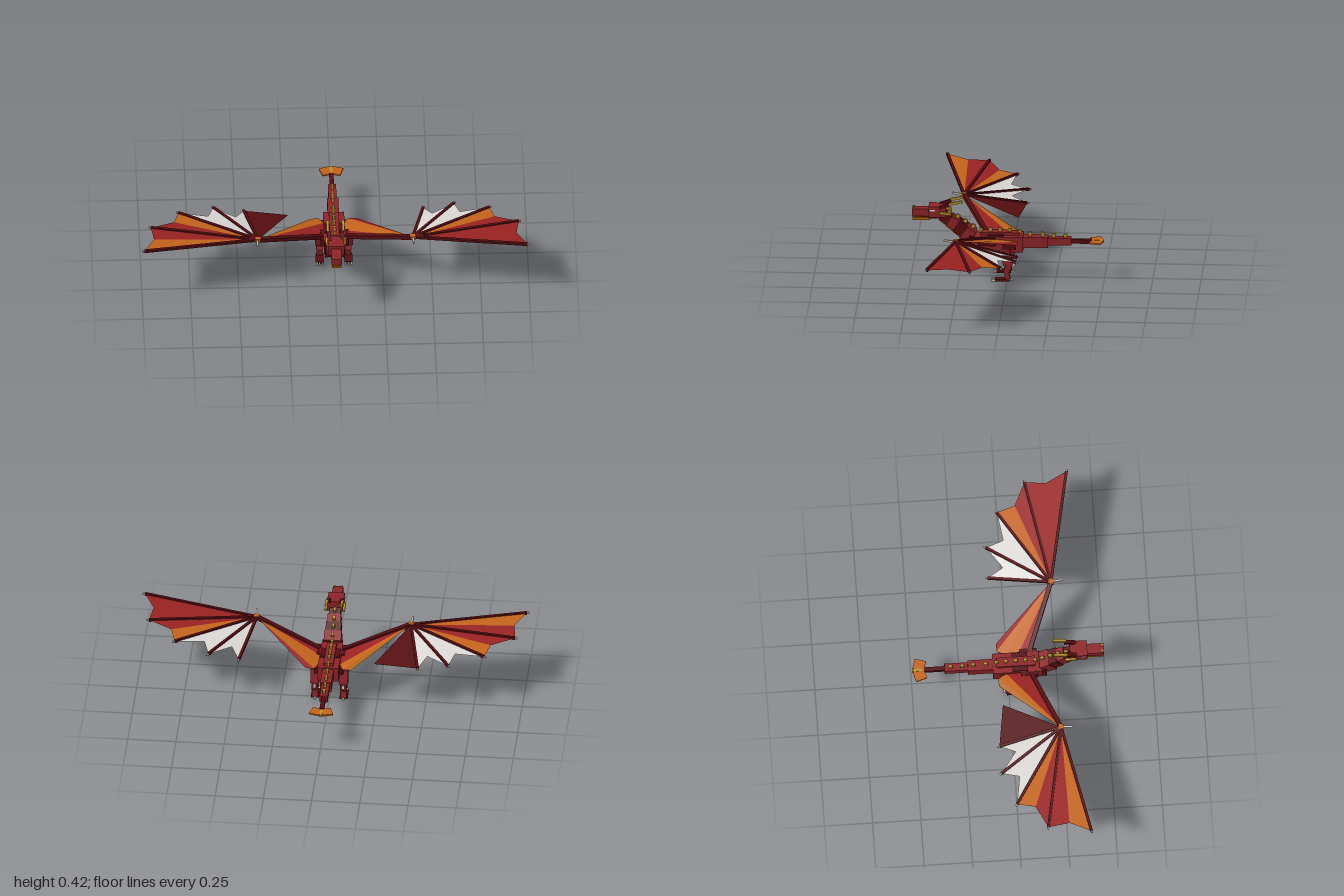
import * as THREE from 'three';

const mat = (name, color) => {
  const m = new THREE.MeshStandardMaterial({ color, side: THREE.DoubleSide });
  m.name = name;
  return m;
};

export function createModel() {
  const red = mat('scale red', 0x8e2428);
  const dark = mat('dark red', 0x560d11);
  const webRed = mat('membrane red', 0x9a2222);
  const orange = mat('membrane orange', 0xc4641c);
  const belly = mat('belly amber', 0xb0640f);
  const gold = mat('horn gold', 0xb8942c);
  const pale = mat('pale membrane', 0xdcd8d6);
  const bone = mat('claw bone', 0xc8c4c0);

  const model = new THREE.Group();
  model.name = 'dragon';

  // box given by size and centre, tilted about x and turned about y
  function box(name, m, w, h, d, x, y, z, rx = 0, ry = 0) {
    const mesh = new THREE.Mesh(new THREE.BoxGeometry(w, h, d), m);
    mesh.name = name;
    mesh.position.set(x, y, z);
    mesh.rotation.set(rx, ry, 0);
    model.add(mesh);
    return mesh;
  }
  // square bar between two points
  function bar(name, m, a, b, t) {
    const mesh = box(name, m, t, t, a.distanceTo(b), 0, 0, 0);
    mesh.position.copy(a).lerp(b, 0.5);
    mesh.lookAt(b);
  }
  // single flat triangle of wing skin
  function web(name, m, a, b, c) {
    const g = new THREE.BufferGeometry().setFromPoints([a, b, c]);
    g.computeVertexNormals();
    const mesh = new THREE.Mesh(g, m);
    mesh.name = name;
    model.add(mesh);
  }

  // torso
  box('torso', red, 0.11, 0.08, 0.25, 0, 0.19, 0.045);
  box('chest', dark, 0.105, 0.08, 0.027, 0, 0.19, 0.184);
  box('bellyPlate', belly, 0.08, 0.014, 0.17, 0, 0.142, 0.085);
  box('backPlate', dark, 0.1, 0.012, 0.08, 0, 0.232, 0.06);
  box('backRidge', red, 0.05, 0.02, 0.2, 0, 0.236, 0.04);

  // tail
  box('tailBase', red, 0.058, 0.056, 0.13, 0, 0.195, -0.143);
  box('tailMiddle', red, 0.042, 0.038, 0.12, 0, 0.199, -0.269);
  box('tailEnd', dark, 0.022, 0.022, 0.107, 0, 0.199, -0.381);
  box('tailTip', gold, 0.014, 0.011, 0.05, 0, 0.202, -0.472);

  // neck, stepping up towards the head
  [[0.205, 0.233, 0.09, 0.075], [0.243, 0.265, 0.08, 0.066],
    [0.28, 0.292, 0.07, 0.06], [0.32, 0.318, 0.06, 0.05]].forEach(([z, y, w, h], i) => {
    box('neckSegment', i % 2 ? dark : red, w, h, 0.056, 0, y, z, -0.62);
    box('neckPlate', belly, w * 0.7, 0.01, 0.042, 0, y - h * 0.43, z + h * 0.31, -0.62);
    box('neckSpine', gold, 0.014, 0.024, 0.02, 0, y + h * 0.5, z - h * 0.34, -0.5);
  });

  // spines along back and tail
  [[0.14, 0.25], [0.09, 0.254], [0.04, 0.254], [-0.01, 0.25], [-0.06, 0.244],
    [-0.115, 0.233], [-0.18, 0.233], [-0.237, 0.226], [-0.297, 0.225]].forEach(([z, y]) =>
    box('spine', gold, 0.014, 0.024, 0.019, 0, y, z, -0.15));

  // head
  box('skull', red, 0.084, 0.056, 0.09, 0, 0.355, 0.364);
  box('snout', red, 0.054, 0.036, 0.09, 0, 0.349, 0.45);
  box('upperLip', dark, 0.05, 0.007, 0.086, 0, 0.328, 0.45);
  box('lowerJaw', belly, 0.048, 0.014, 0.092, 0, 0.314, 0.446);
  box('jawHinge', dark, 0.06, 0.014, 0.05, 0, 0.325, 0.385);

  // paired parts
  for (const s of [1, -1]) {
    box('eye', pale, 0.006, 0.009, 0.026, s * 0.042, 0.364, 0.387);
    box('nostril', gold, 0.01, 0.008, 0.012, s * 0.016, 0.369, 0.488);
    box('hornBase', dark, 0.02, 0.016, 0.06, s * 0.034, 0.387, 0.325, 0.35);
    box('horn', gold, 0.014, 0.013, 0.07, s * 0.04, 0.407, 0.268, 0.22);
    box('cheekHorn', gold, 0.013, 0.013, 0.06, s * 0.046, 0.35, 0.322, -0.1);
    box('tailFin', orange, 0.055, 0.008, 0.06, s * 0.028, 0.202, -0.458, 0, s * -0.3);

    box('shoulder', dark, 0.03, 0.042, 0.09, s * 0.058, 0.207, 0.107);
    box('hip', dark, 0.03, 0.036, 0.07, s * 0.06, 0.188, -0.01);

    // leg
    box('thigh', red, 0.046, 0.075, 0.052, s * 0.074, 0.132, 0.003, 0.25);
    box('shin', red, 0.034, 0.06, 0.03, s * 0.074, 0.077, -0.006, -0.4);
    box('ankle', red, 0.03, 0.05, 0.024, s * 0.074, 0.034, 0, 0.22);
    box('kneeSpur', bone, 0.014, 0.018, 0.016, s * 0.074, 0.088, -0.034, 0.2);
    box('foot', dark, 0.042, 0.011, 0.075, s * 0.074, 0.008, 0.025);
    box('heelClaw', bone, 0.012, 0.009, 0.024, s * 0.074, 0.008, -0.02);
    for (const dx of [-0.015, 0, 0.015])
      box('toeClaw', bone, 0.008, 0.009, 0.02, s * 0.074 + dx, 0.007, 0.071);

    // wing joints and finger tips
    const p = (x, y, z) => new THREE.Vector3(s * x, y, z);
    const shoulder = p(0.06, 0.222, 0.115);
    const wrist = p(0.4, 0.312, 0.248);
    const tips = [p(0.99, 0.343, 0.367), p(0.95, 0.325, 0.147), p(0.803, 0.3, -0.006),
      p(0.622, 0.277, -0.075), p(0.464, 0.252, -0.075)];

    bar('wingArm', dark, shoulder, wrist, 0.022);
    box('wrist', orange, 0.026, 0.022, 0.026, wrist.x, wrist.y, wrist.z);
    bar('wristClaw', bone, wrist, p(0.405, 0.32, 0.31), 0.01);
    for (const t of tips) {
      bar('wingFinger', dark, wrist, t, 0.014);
      const end = t.clone().sub(wrist).setLength(0.012).add(t);
      bar('fingerClaw', bone, t, end, 0.008);
    }

    // outer skin: each panel is two triangles meeting at a notch
    const skins = s > 0
      ? [[webRed, webRed], [webRed, orange], [pale, pale], [pale, pale]]
      : [[orange, webRed], [webRed, orange], [pale, pale], [pale, pale]];
    skins.forEach(([m1, m2], i) => {
      const notch = tips[i].clone().lerp(tips[i + 1], 0.5).lerp(wrist, [0.06, 0.1, 0.2, 0.25][i]);
      web('wingPanel', m1, wrist, tips[i], notch);
      web('wingPanel', m2, wrist, notch, tips[i + 1]);
    });
    // extra inner panel on the right wing
    if (s < 0) web('wingPanel', dark, wrist, tips[4], p(0.235, 0.245, -0.042));

    // inner skin between arm and body
    const root = [shoulder, p(0.055, 0.218, 0.06), p(0.055, 0.212, -0.01),
      p(0.075, 0.208, -0.055), p(0.117, 0.207, -0.055)];
    const inner = s > 0 ? [webRed, orange, orange, webRed] : [webRed, webRed, orange, belly];
    inner.forEach((m, i) => web('innerPanel', m, wrist, root[i], root[i + 1]));
  }
  return model;
}
